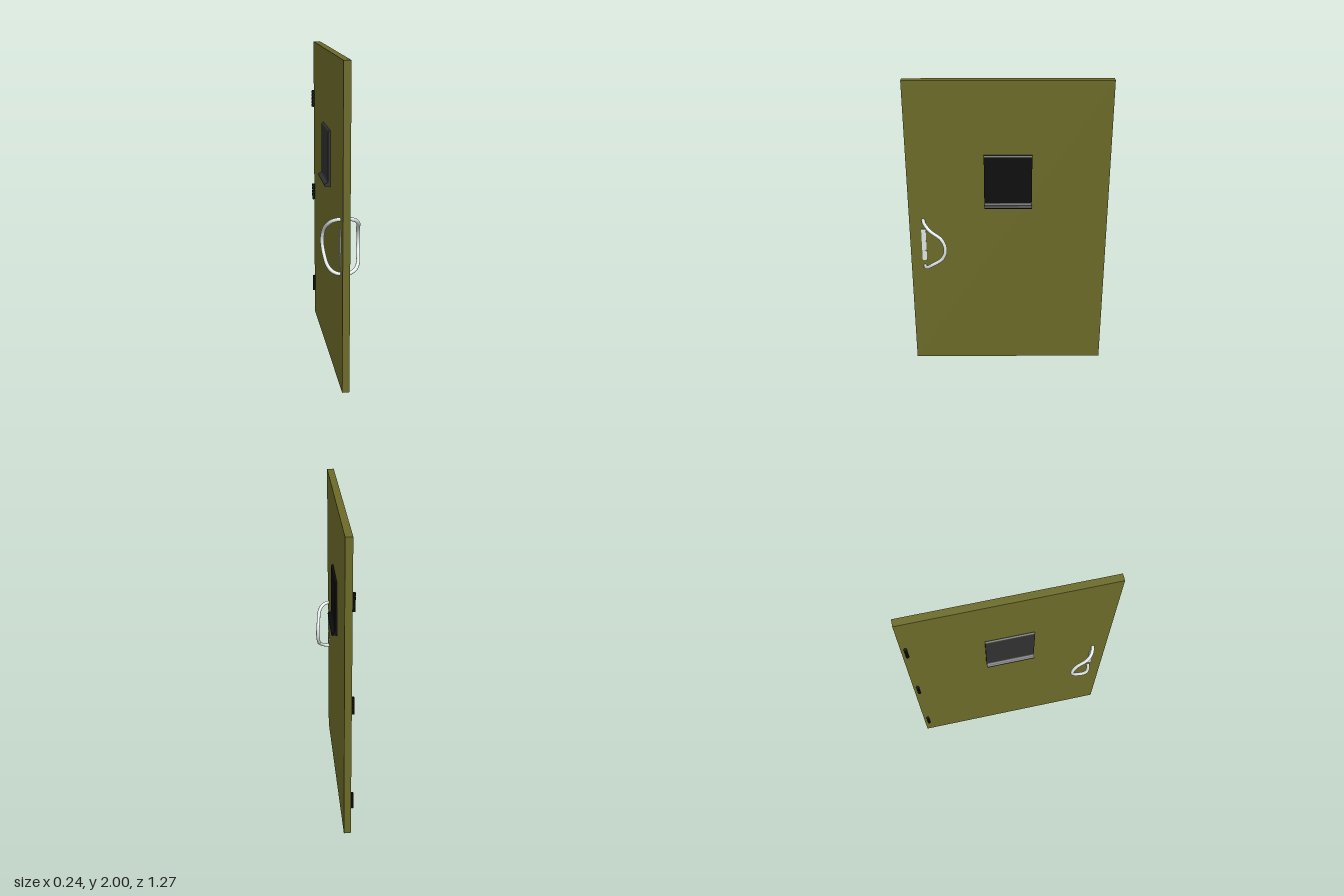
import * as THREE from 'three';

const mat = (color) => new THREE.MeshStandardMaterial({ color });

export function createModel() {
  const door = new THREE.Group();
  door.name = 'door';
  const olive = mat(0x6b6a28), black = mat(0x0d0d0d), charcoal = mat(0x303030), steel = mat(0xdde5e3);

  const add = (name, geometry, material, x = 0, y = 0, z = 0) => {
    const mesh = new THREE.Mesh(geometry, material);
    mesh.name = name;
    mesh.position.set(x, y, z);
    door.add(mesh);
    return mesh;
  };

  // Door slab
  add('doorSlab', new THREE.BoxGeometry(0.044, 2, 1.27), olive, 0, 1, 0);

  // Window cover: rounded top edge, lip flaring outward at the bottom
  const cover = (side) => {
    const s = new THREE.Shape();
    s.moveTo(0.018, 1.168);
    s.lineTo(0.018, 1.525);
    s.lineTo(0.024, 1.525);
    s.quadraticCurveTo(0.036, 1.523, 0.036, 1.508);
    s.lineTo(0.036, 1.205);
    s.quadraticCurveTo(0.037, 1.192, 0.052, 1.189);
    s.quadraticCurveTo(0.061, 1.185, 0.059, 1.176);
    s.quadraticCurveTo(0.056, 1.167, 0.048, 1.169);
    s.quadraticCurveTo(0.034, 1.174, 0.028, 1.168);
    const g = new THREE.ExtrudeGeometry(s, { depth: 0.3, bevelEnabled: false, curveSegments: 8 });
    g.translate(0, 0, -0.15);
    if (side < 0) g.rotateY(Math.PI);
    return g;
  };
  add('windowCoverLeft', cover(1), black);
  add('windowCoverRight', cover(-1), charcoal);

  // Pull handle: one closed bent bar passing through the slab, mirrored from a quarter path
  const midY = 0.905;
  const quarter = [
    [0.035, 0.168, 0.543], [0.07, 0.154, 0.527], [0.093, 0.125, 0.495],
    [0.104, 0.076, 0.43], [0.109, 0.036, 0.408],
  ];
  const point = (sx, sy) => ([x, y, z]) => new THREE.Vector3(sx * x, midY + sy * y, z);
  const back = [...quarter].reverse();
  const path = new THREE.CatmullRomCurve3([
    point(1, 1)([0, 0.168, 0.546]), ...quarter.map(point(1, 1)),
    point(1, 1)([0.111, 0, 0.402]), ...back.map(point(1, -1)),
    point(1, -1)([0, 0.168, 0.546]), ...quarter.map(point(-1, -1)),
    point(-1, 1)([0.111, 0, 0.402]), ...back.map(point(-1, 1)),
  ], true);
  add('pullHandle', new THREE.TubeGeometry(path, 128, 0.0115, 16, true), steel);

  // Lock plates with a small key cylinder
  for (const side of [1, -1]) {
    add('lockPlate', new THREE.BoxGeometry(0.008, 0.23, 0.029), steel, side * 0.023, 0.895, 0.546);
    const key = add('keyCylinder', new THREE.CylinderGeometry(0.006, 0.006, 0.006, 16), steel, side * 0.026, 0.85, 0.54);
    key.rotation.z = Math.PI / 2;
  }

  // Hinges: five knuckles on a thin pin
  for (const y of [0.24, 0.94, 1.61]) {
    add('hingePin', new THREE.CylinderGeometry(0.006, 0.006, 0.112, 12), black, -0.031, y, -0.607);
    for (let i = -2; i <= 2; i++) {
      add('hingeKnuckle', new THREE.CylinderGeometry(0.01, 0.01, 0.019, 16), black, -0.031, y + i * 0.0235, -0.607);
    }
  }
  return door;
}
